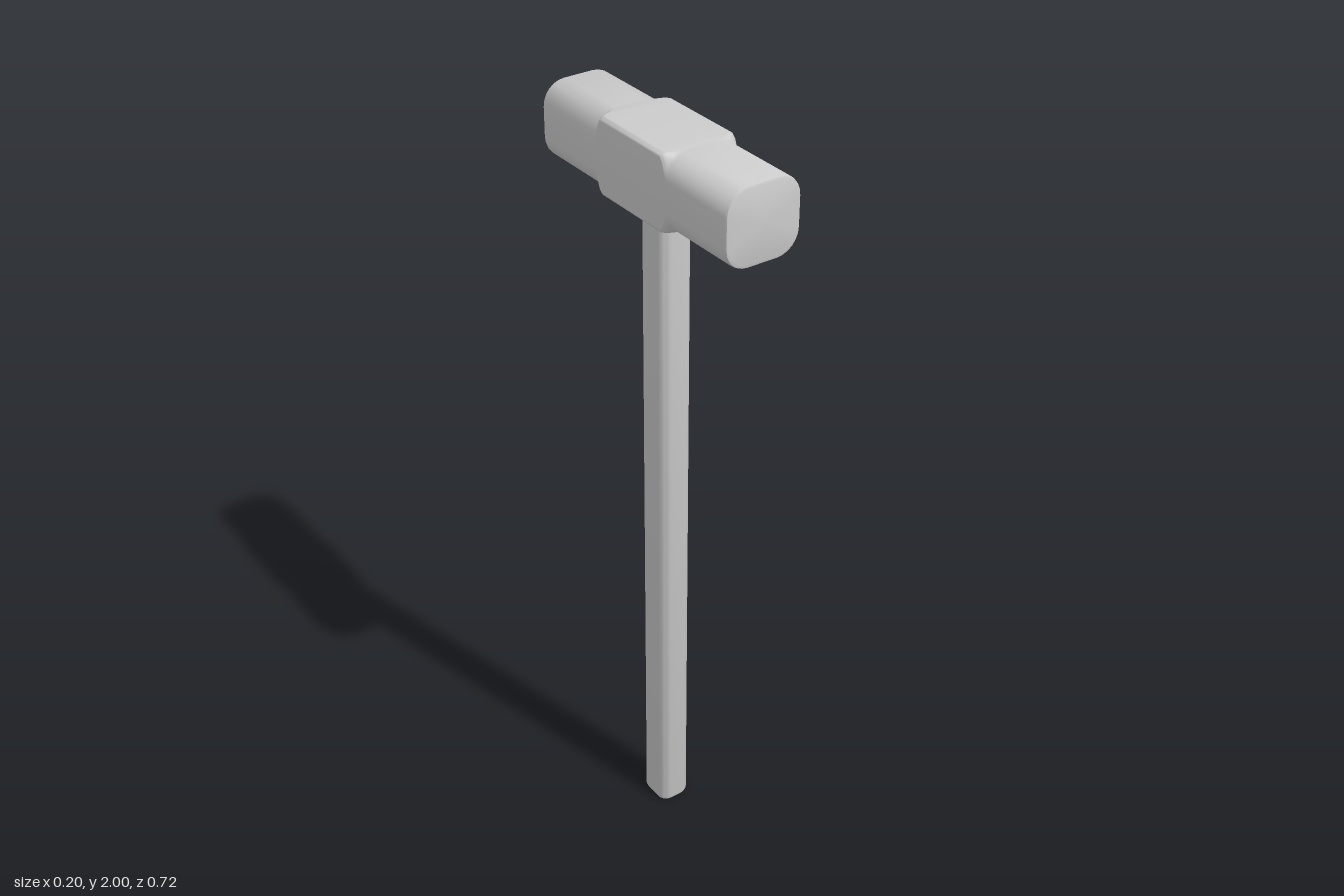
import * as THREE from 'three';
import { toCreasedNormals } from 'three/addons/utils/BufferGeometryUtils.js';

const CORNER_STEPS = 6;

// Counter-clockwise rounded rectangle, given half sizes and corner radius
function roundedSection(hw, hh, r) {
  const points = [];
  for (let q = 0; q < 4; q++) {
    const sx = q === 0 || q === 3 ? 1 : -1;
    const sy = q < 2 ? 1 : -1;
    for (let k = 0; k <= CORNER_STEPS; k++) {
      const a = (q + k / CORNER_STEPS) * Math.PI / 2;
      points.push([sx * (hw - r) + r * Math.cos(a), sy * (hh - r) + r * Math.sin(a)]);
    }
  }
  return points;
}

// Closed loft along z through [z, halfWidth, halfHeight, cornerRadius] sections
function loft(sections) {
  const positions = [], index = [];
  const n = 4 * (CORNER_STEPS + 1);
  for (const [z, hw, hh, r] of sections) {
    for (const [x, y] of roundedSection(hw, hh, r)) positions.push(x, y, z);
  }
  const last = sections.length - 1;
  const startCap = n * sections.length, endCap = startCap + 1;
  positions.push(0, 0, sections[0][0], 0, 0, sections[last][0]);
  for (let j = 0; j < n; j++) {
    const k = (j + 1) % n;
    for (let i = 0; i < last; i++) {
      const a = i * n + j, b = i * n + k;
      index.push(a, b, b + n, a, b + n, a + n);
    }
    index.push(startCap, k, j, endCap, last * n + j, last * n + k);
  }
  const geometry = new THREE.BufferGeometry();
  geometry.setAttribute('position', new THREE.Float32BufferAttribute(positions, 3));
  geometry.setIndex(index);
  return toCreasedNormals(geometry, 0.7);
}

export function createModel() {
  const group = new THREE.Group();
  const material = new THREE.MeshStandardMaterial({ color: 0xcccccc });

  // Head: square block in the middle, strongly rounded striking ends
  const half = [
    [0.115, 0.1, 0.0975, 0.012],
    [0.124, 0.1, 0.0975, 0.022],
    [0.134, 0.1, 0.0975, 0.05],
    [0.143, 0.1, 0.0975, 0.06],
    [0.352, 0.1, 0.0975, 0.06],
    [0.358, 0.098, 0.0955, 0.058],
    [0.36, 0.092, 0.0895, 0.053],
  ];
  const mirrored = half.map(([z, ...rest]) => [-z, ...rest]).reverse();
  const head = new THREE.Mesh(loft([...mirrored, ...half]), material);
  head.name = 'head';
  head.position.y = 1.9025;
  group.add(head);

  // Handle: slightly oval shaft with a softened foot
  const shaft = loft([
    [0, 0.033, 0.038, 0.018],
    [0.004, 0.041, 0.046, 0.024],
    [0.014, 0.045, 0.05, 0.027],
    [1.88, 0.045, 0.05, 0.027],
  ]);
  shaft.rotateX(-Math.PI / 2);
  const handle = new THREE.Mesh(shaft, material);
  handle.name = 'handle';
  group.add(handle);

  return group;
}
